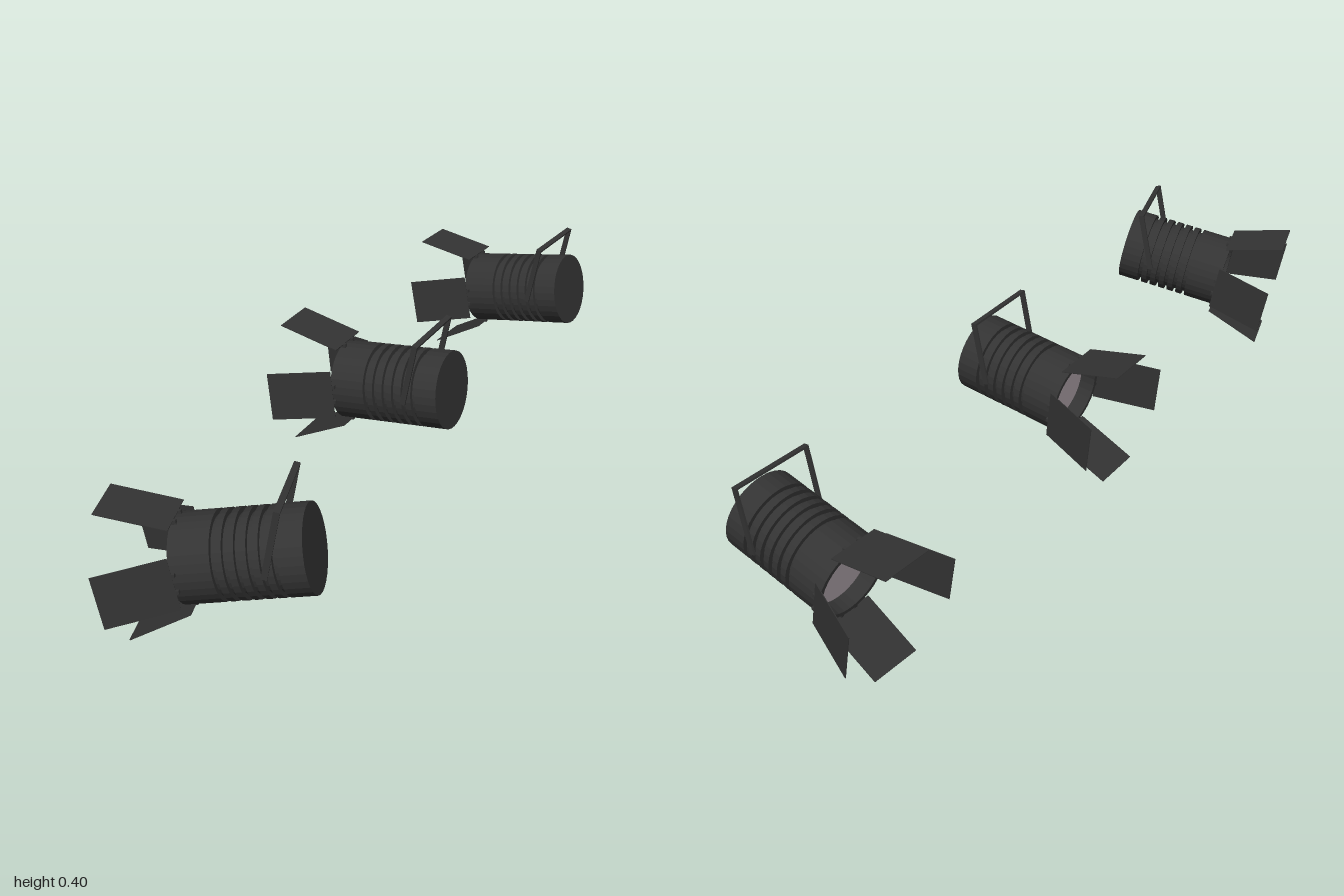
import * as THREE from 'three';

const R = 0.098, LENGTH = 0.287, SIDES = 32;
const SPLAY = THREE.MathUtils.degToRad(19.4);

const metal = new THREE.MeshStandardMaterial({ color: 0x333333, flatShading: true });
const glass = new THREE.MeshStandardMaterial({ color: 0xa89ca2 });

function add(parent, name, geometry, material = metal) {
  const mesh = new THREE.Mesh(geometry, material);
  mesh.name = name;
  parent.add(mesh);
  return mesh;
}

// Hollow front, cooling grooves along the middle, closed back
function housingGeometry() {
  const profile = [[0.084, 0.04], [0.088, 0], [R, 0]];
  for (let i = 0; i < 6; i++) {
    const s = 0.09 + i * 0.026;
    profile.push([R, s], [R - 0.011, s], [R - 0.011, s + 0.011], [R, s + 0.011]);
  }
  profile.push([R, LENGTH], [0, LENGTH]);
  const geometry = new THREE.LatheGeometry(profile.map(([r, s]) => new THREE.Vector2(r, s)), SIDES);
  return geometry.rotateZ(-Math.PI / 2);
}

// One lamp: origin at the centre of its mouth, shining along -x
function makeLamp(name, position, yaw, pitch) {
  const lamp = new THREE.Group();
  lamp.name = name;
  lamp.position.set(...position);
  lamp.rotation.set(0, THREE.MathUtils.degToRad(yaw), THREE.MathUtils.degToRad(pitch), 'YZX');

  add(lamp, 'housing', housingGeometry());
  const lens = add(lamp, 'lens', new THREE.CircleGeometry(0.086, SIDES).rotateY(-Math.PI / 2), glass);
  lens.position.x = 0.038;

  // Four flaps hinged around the mouth
  ['top', 'left', 'bottom', 'right'].forEach((side, i) => {
    const mount = new THREE.Group();
    mount.name = side + 'Door';
    mount.rotation.x = i * Math.PI / 2;
    lamp.add(mount);
    const flap = add(mount, 'flap', new THREE.BoxGeometry(0.16, 0.002, 0.125).translate(-0.08, 0, 0));
    flap.position.set(0.008, 0.103, 0);
    flap.rotation.z = -SPLAY;
    for (const z of [-0.02, 0.02]) {
      const hinge = add(mount, 'hinge', new THREE.BoxGeometry(0.012, 0.014, 0.008));
      hinge.position.set(0.008, 0.097, z);
    }
  });

  // Hanging bracket, leaning back
  const yoke = new THREE.Group();
  yoke.name = 'yoke';
  yoke.position.x = 0.2;
  yoke.rotation.z = -THREE.MathUtils.degToRad(11 + pitch);
  lamp.add(yoke);
  for (const z of [-0.1, 0.1]) {
    const leg = add(yoke, 'yokeLeg', new THREE.BoxGeometry(0.014, 0.165, 0.005));
    leg.position.set(0, 0.0775, z);
  }
  const bar = add(yoke, 'yokeBar', new THREE.BoxGeometry(0.014, 0.005, 0.205));
  bar.position.y = 0.1575;
  return lamp;
}

export function createModel() {
  const model = new THREE.Group();
  model.name = 'stageLamps';
  model.add(
    makeLamp('frontLamp', [-0.054, 0.181, 0.805], 17.5, 10.5),
    makeLamp('middleLamp', [-0.095, 0.2225, -0.031], 0, 6),
    makeLamp('backLamp', [-0.065, 0.181, -0.832], -4.7, 10.5),
  );
  return model;
}
